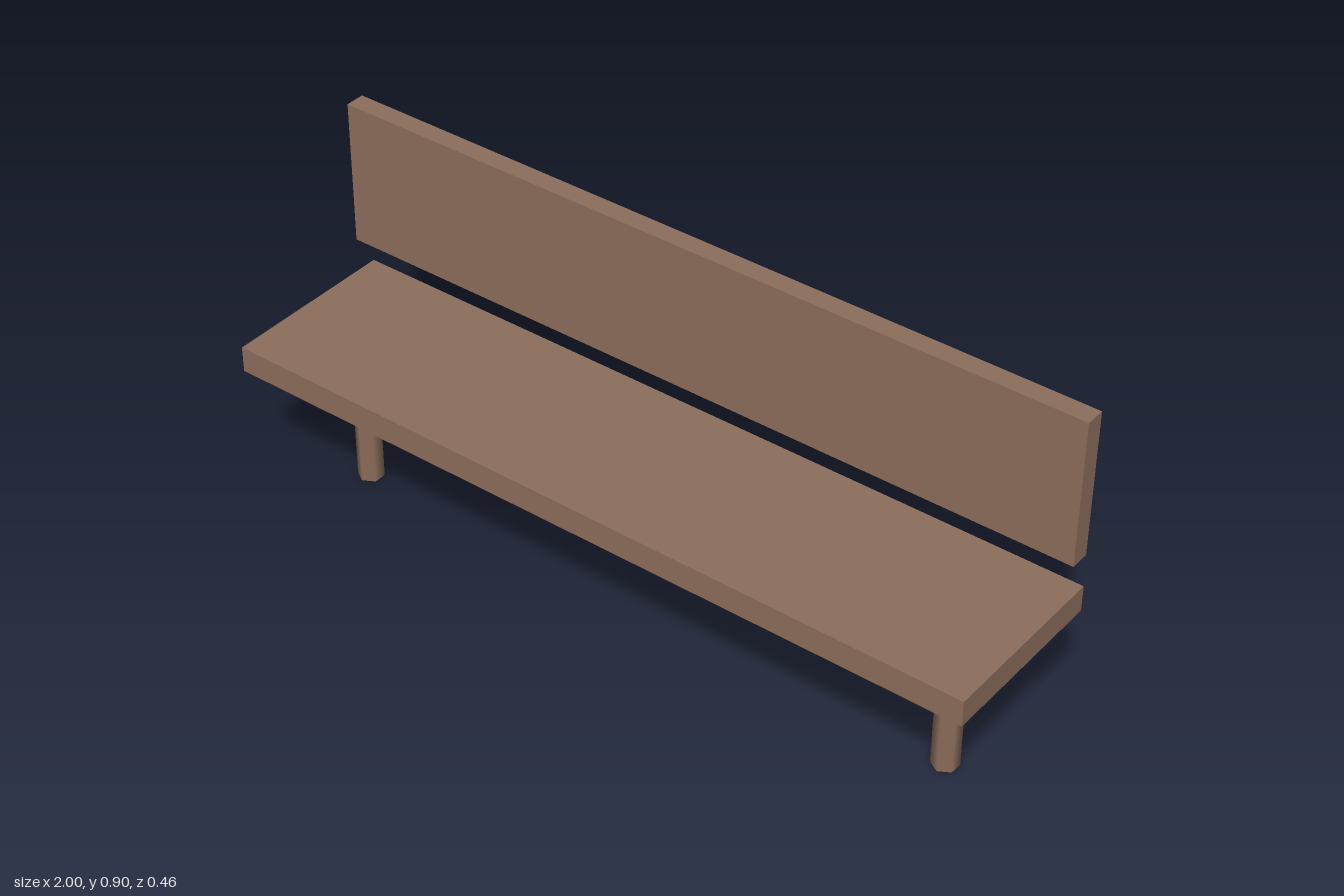
import * as THREE from 'three';

export function createModel() {
  const bench = new THREE.Group();
  bench.name = 'bench';
  const wood = new THREE.MeshStandardMaterial({ color: 0x8d6e5c });

  const add = (name, geometry, x, y, z) => {
    const mesh = new THREE.Mesh(geometry, wood);
    mesh.name = name;
    mesh.position.set(x, y, z);
    bench.add(mesh);
  };

  // Seat plank and floating backrest
  const legHeight = 0.367;
  const seatThickness = 0.067;
  add('seat', new THREE.BoxGeometry(2, seatThickness, 0.46), 0, legHeight + seatThickness / 2, 0);
  add('backrest', new THREE.BoxGeometry(2, 0.375, 0.05), 0, 0.71, -0.2);

  // Six-sided legs with smooth shading
  const leg = new THREE.CylinderGeometry(0.033, 0.033, legHeight, 6);
  add('leftLeg', leg, 0.833, legHeight / 2, 0);
  add('rightLeg', leg, -0.833, legHeight / 2, 0);

  return bench;
}
